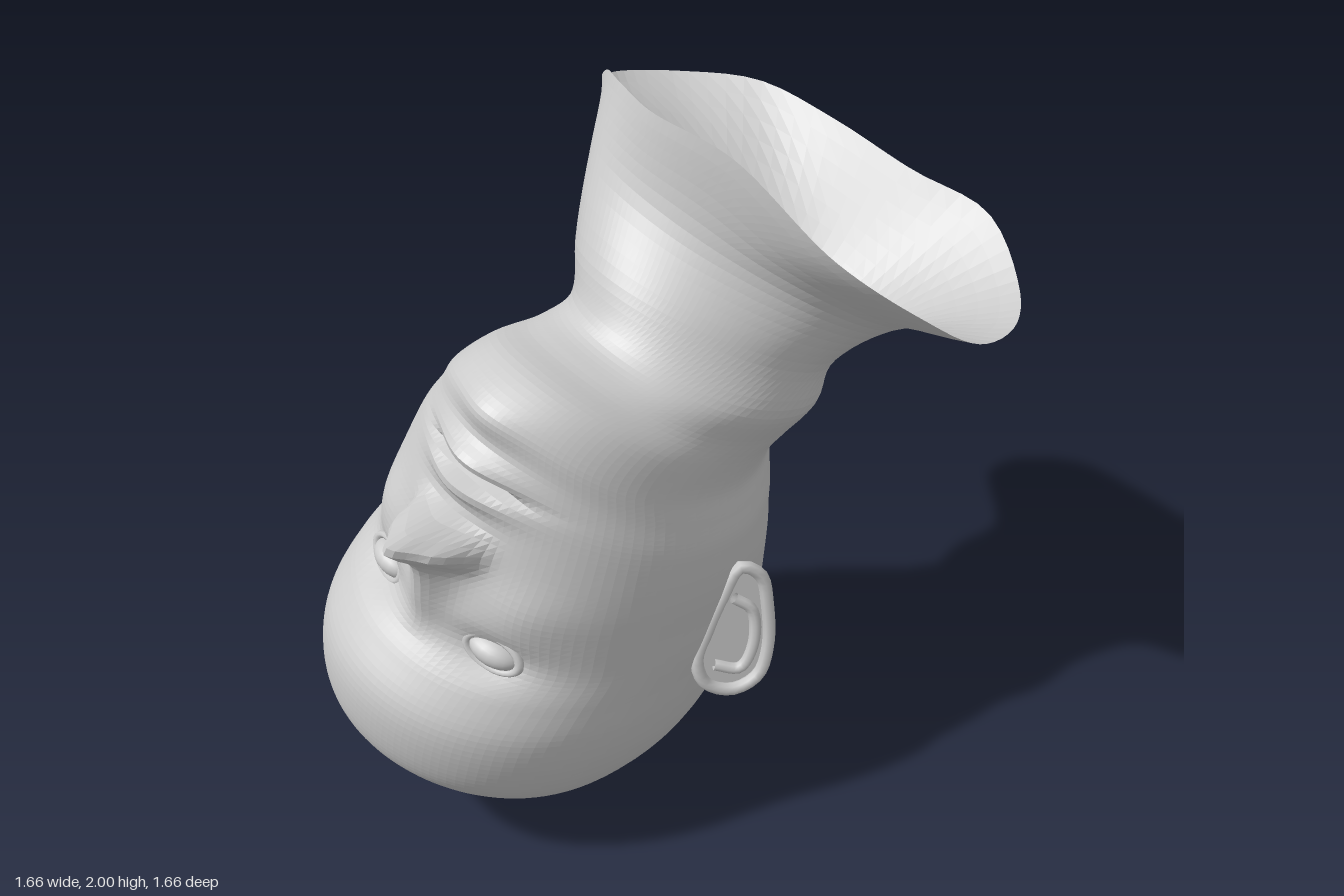
import * as THREE from 'three';

const V = (x, y, z) => new THREE.Vector3(x, y, z);
const mat = new THREE.MeshStandardMaterial({ color: 0xcccccc, flatShading: true, side: THREE.DoubleSide });
const smoothMat = new THREE.MeshStandardMaterial({ color: 0xcccccc, side: THREE.DoubleSide });

// Head frame: side, up (crown points down in the world) and face direction
const C = V(-0.185, 0.772, 0.035);
const P = V(-0.93, 0.25, -0.31).normalize();
const F = P.clone().cross(V(-0.3, -0.945, 0.14)).normalize();
const U = F.clone().cross(P);
const toWorld = (p, u, f) => C.clone().addScaledVector(P, p).addScaledVector(U, u).addScaledVector(F, f);

// Head sections, crown to throat: front f, front u, back f, back u, half width, side lift, side shift
const sections = [
  [-0.08, 0.77, -0.08, 0.77, 0, 0, 0.03],
  [0.12, 0.762, -0.25, 0.725, 0.20, 0, 0.03],
  [0.35, 0.715, -0.385, 0.645, 0.33, 0, 0.03],
  [0.54, 0.64, -0.47, 0.54, 0.415, 0, 0.03],
  [0.66, 0.545, -0.53, 0.42, 0.465, 0, 0.025],
  [0.72, 0.43, -0.555, 0.30, 0.49, 0, 0.02],
  [0.74, 0.31, -0.56, 0.18, 0.495, 0, 0.015],
  [0.70, 0.20, -0.545, 0.08, 0.49, 0, 0.01],
  [0.655, 0.11, -0.52, -0.02, 0.48, 0, 0],
  [0.655, 0, -0.485, -0.11, 0.47, 0, 0],
  [0.655, -0.12, -0.445, -0.20, 0.46, 0.01, 0],
  [0.655, -0.24, -0.415, -0.27, 0.445, 0.03, 0],
  [0.65, -0.36, -0.40, -0.33, 0.425, 0.05, 0],
  [0.64, -0.46, -0.39, -0.38, 0.395, 0.07, 0],
  [0.645, -0.55, -0.39, -0.43, 0.365, 0.085, 0],
  [0.57, -0.63, -0.395, -0.48, 0.34, 0.08, -0.015],
  [0.44, -0.655, -0.41, -0.53, 0.325, 0.06, -0.035],
  [0.35, -0.69, -0.43, -0.585, 0.325, 0.02, -0.055],
];
// Neck rings: centre, side axis, front axis
const neckRings = [
  [V(0.06, 1.45, -0.145), V(0.34, -0.12, 0), V(0, 0.135, 0.35)],
  [V(0.12, 1.6, -0.25), V(0.41, -0.19, 0.02), V(-0.02, 0.14, 0.34)],
];
// Flared open rim, at equal angles
const rim = new THREE.CatmullRomCurve3([
  V(0.82, 1.44, -0.34), V(0.78, 1.47, -0.15), V(0.67, 1.6, 0.02), V(0.48, 1.75, 0.11),
  V(0.22, 1.95, 0.1), V(-0.02, 2, 0.03), V(-0.17, 2, -0.11), V(-0.3, 1.95, -0.3),
  V(-0.4, 1.86, -0.47), V(-0.42, 1.82, -0.62), V(-0.32, 1.785, -0.77), V(-0.1, 1.77, -0.84),
  V(0.15, 1.72, -0.78), V(0.41, 1.64, -0.71), V(0.64, 1.58, -0.66), V(0.78, 1.47, -0.5),
], true);

// Relief of the face along its forward direction
const bump = (dp, sp, du, su) => Math.exp(-((dp / sp) ** 2) - (du / su) ** 2);
function faceRelief(p, u) {
  const q = Math.abs(p);
  const t = THREE.MathUtils.clamp((0.14 - u) / 0.33, 0, 1);
  const under = THREE.MathUtils.smoothstep(u, -0.26, -0.2);
  let d = 0.12 * t ** 1.2 * under * Math.exp(-((p / (0.045 + 0.03 * t)) ** 2)); // nose bridge
  d += 0.09 * bump(p, 0.06, u + 0.185, 0.05);            // nose tip
  d += 0.07 * bump(q - 0.08, 0.035, u + 0.185, 0.04);    // nostril wings
  d -= 0.04 * bump(q - 0.2, 0.1, u - 0.09, 0.06);        // eye sockets
  d += 0.025 * bump(q - 0.27, 0.1, u + 0.08, 0.09);      // cheeks
  d += 0.045 * bump(p, 0.13, u + 0.335, 0.035);          // upper lip
  d += 0.045 * bump(p, 0.12, u + 0.41, 0.035);           // lower lip
  d -= 0.06 * bump(p, 0.13, u + 0.372, 0.014);           // mouth line
  d += 0.025 * bump(p, 0.1, u + 0.54, 0.06);             // chin
  return d;
}

// Skull, face and neck as one lofted skin
function headAndNeck() {
  const N = 96, STEPS = 6, M = (sections.length + neckRings.length) * STEPS;
  const pos = [], index = [];
  for (let j = 0; j < N; j++) {
    const phi = (j / N) * Math.PI * 2;
    const th = phi + 0.4 * Math.cos(phi); // denser strands on the face
    const c = Math.cos(th), s = Math.sin(th);
    const k = s > 0 ? s ** 0.85 : s;
    const keys = sections.map(([ff, fu, bf, bu, w, lift, shift]) => toWorld(
      shift - w * c, (fu + bu) / 2 + k * (fu - bu) / 2 + lift * c * c, (ff + bf) / 2 + k * (ff - bf) / 2));
    for (const [o, a, b] of neckRings) keys.push(o.clone().addScaledVector(a, c).addScaledVector(b, s));
    keys.push(rim.getPoint((th / (Math.PI * 2)) % 1));
    const strand = new THREE.CatmullRomCurve3(keys);
    for (let i = 0; i <= M; i++) {
      const v = strand.getPoint(i / M);
      const r = v.clone().sub(C);
      if (s > 0 && r.dot(F) > 0.2) v.addScaledVector(F, faceRelief(r.dot(P), r.dot(U)));
      pos.push(v.x, v.y, v.z);
      if (i < M) {
        const a = j * (M + 1) + i, b = ((j + 1) % N) * (M + 1) + i;
        index.push(a, a + 1, b, b, a + 1, b + 1);
      }
    }
  }
  const g = new THREE.BufferGeometry();
  g.setAttribute('position', new THREE.Float32BufferAttribute(pos, 3));
  g.setIndex(index);
  g.computeVertexNormals();
  const mesh = new THREE.Mesh(g, mat);
  mesh.name = 'headAndNeck';
  return mesh;
}

function part(name, geometry, parent) {
  const m = new THREE.Mesh(geometry, smoothMat);
  m.name = name;
  parent.add(m);
  return m;
}

// Eyeball with a lid rim
function eye() {
  const g = new THREE.Group();
  g.name = 'eye';
  part('eyeball', new THREE.SphereGeometry(0.075, 20, 14), g).scale.set(1, 0.55, 0.75);
  const lid = part('eyelids', new THREE.TorusGeometry(0.077, 0.013, 8, 28), g);
  lid.scale.set(1, 0.6, 1);
  lid.position.z = 0.02;
  g.position.set(0.195, 0.08, 0.56);
  g.rotation.y = 0.3;
  return g;
}

// Ear: thin shell, rolled outer edge, inner fold
function ear() {
  const g = new THREE.Group();
  g.name = 'ear';
  const outline = [[-0.03, -0.19], [0.03, -0.17], [0.07, -0.08], [0.1, 0.05], [0.09, 0.14],
    [0.03, 0.185], [-0.05, 0.17], [-0.09, 0.1], [-0.08, 0], [-0.06, -0.1]];
  const edge = new THREE.CatmullRomCurve3(outline.map(([x, y]) => V(x, y, 0.01)), true);
  const shape = new THREE.Shape(edge.getPoints(32).map(v => new THREE.Vector2(v.x, v.y)));
  part('earShell', new THREE.ExtrudeGeometry(shape, { depth: 0.015, bevelEnabled: false }), g).position.z = -0.015;
  part('helix', new THREE.TubeGeometry(edge, 40, 0.018, 8, true), g);
  const fold = new THREE.CatmullRomCurve3([V(-0.04, 0.11, 0.01), V(0.03, 0.11, 0.02),
    V(0.05, 0.03, 0.025), V(0.025, -0.07, 0.02), V(-0.03, -0.1, 0.015)]);
  part('innerFold', new THREE.TubeGeometry(fold, 24, 0.016, 8), g);
  g.position.set(0.505, -0.02, -0.01);
  g.rotation.set(0, 0.95, -0.2, 'ZYX');
  return g;
}

export function createModel() {
  const model = new THREE.Group();
  model.name = 'invertedHead';
  model.add(headAndNeck());
  // Paired features, mirrored in the head frame
  const features = new THREE.Group();
  features.name = 'eyesAndEars';
  features.position.copy(C);
  features.quaternion.setFromRotationMatrix(new THREE.Matrix4().makeBasis(P, U, F));
  for (const side of [1, -1]) {
    const half = new THREE.Group();
    half.name = side > 0 ? 'rightFeatures' : 'leftFeatures';
    half.scale.x = side;
    half.add(eye(), ear());
    features.add(half);
  }
  model.add(features);
  return model;
}
